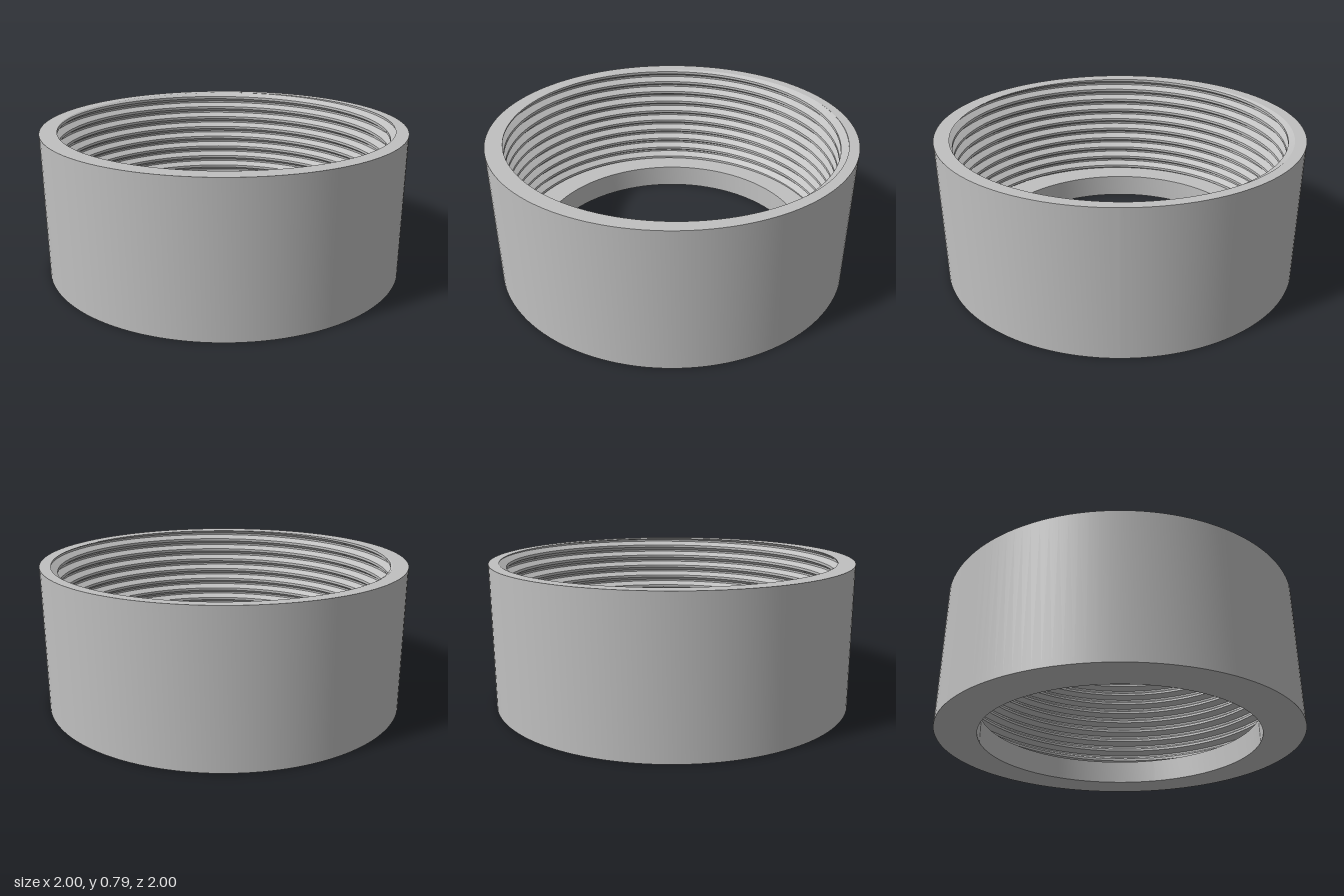
import * as THREE from 'three';
import { mergeGeometries } from 'three/addons/utils/BufferGeometryUtils.js';

const SEG = 128;
const HEIGHT = 0.79, LEDGE = 0.137;
const OUTER = 1, HOLE = 0.775, CREST = 0.907, ROOT = 0.945;
const PITCH = 0.0695;
const CREST_HALF = 0.11, ROOT_HALF = 0.08;   // half widths of the flats, in pitches
const PHASE = 210 / 360;                     // where a crest meets the top rim

// height of the thread's reference crest at an angle (right-handed helix)
const crestY = (a) => HEIGHT + PITCH * (a / (2 * Math.PI) - PHASE);

// thread radius at any angle and height
function threadRadius(a, y) {
  const t = (y - crestY(a)) / PITCH;
  const d = Math.abs(t - Math.round(t));     // 0 at a crest, 0.5 at a root
  const k = (d - CREST_HALF) / (0.5 - ROOT_HALF - CREST_HALF);
  return CREST + (ROOT - CREST) * THREE.MathUtils.clamp(k, 0, 1);
}

// closed band between two rings; each ring maps an angle to [radius, height]
function band(ringA, ringB) {
  const pos = [], index = [];
  for (let i = 0; i <= SEG; i++) {
    const a = (i / SEG) * Math.PI * 2;
    for (const [r, y] of [ringA(a), ringB(a)]) pos.push(r * Math.cos(a), y, -r * Math.sin(a));
    if (i < SEG) {
      const n = i * 2;
      index.push(n, n + 2, n + 1, n + 2, n + 3, n + 1);
    }
  }
  const g = new THREE.BufferGeometry();
  g.setAttribute('position', new THREE.Float32BufferAttribute(pos, 3));
  g.setIndex(index);
  g.computeVertexNormals();
  return g;
}

const circle = (r, y) => () => [r, y];
const threadEdge = (y) => (a) => [threadRadius(a, y), y];

// helical row at an offset in pitches, cut off at the rim and the ledge
const threadRow = (offset) => (a) => {
  const y = THREE.MathUtils.clamp(crestY(a) + offset * PITCH, LEDGE, HEIGHT);
  return [threadRadius(a, y), y];
};

export function createModel() {
  const group = new THREE.Group();
  group.name = 'threadedCollar';
  const metal = new THREE.MeshStandardMaterial({ color: 0xc0c0c0 });
  metal.name = 'grey metal';

  const add = (name, geometry) => {
    const mesh = new THREE.Mesh(geometry, metal);
    mesh.name = name;
    group.add(mesh);
  };

  // plain faces of the ring
  add('outerWall', band(circle(OUTER, 0), circle(OUTER, HEIGHT)));
  add('topRim', band(circle(OUTER, HEIGHT), threadEdge(HEIGHT)));
  add('ledge', band(threadEdge(LEDGE), circle(HOLE, LEDGE)));
  add('holeWall', band(circle(HOLE, LEDGE), circle(HOLE, 0)));
  add('bottomFace', band(circle(HOLE, 0), circle(OUTER, 0)));

  // internal thread, from the rim down: crest flat, flank, root flat, flank
  const offsets = [];
  const turns = Math.ceil((HEIGHT - LEDGE) / PITCH) + 1;
  for (let k = 1; k >= -turns; k--) {
    offsets.push(k + CREST_HALF, k - CREST_HALF, k - 0.5 + ROOT_HALF, k - 0.5 - ROOT_HALF);
  }
  const strips = [];
  for (let i = 0; i < offsets.length - 1; i++) {
    strips.push(band(threadRow(offsets[i]), threadRow(offsets[i + 1])));
  }
  add('internalThread', mergeGeometries(strips));

  return group;
}
